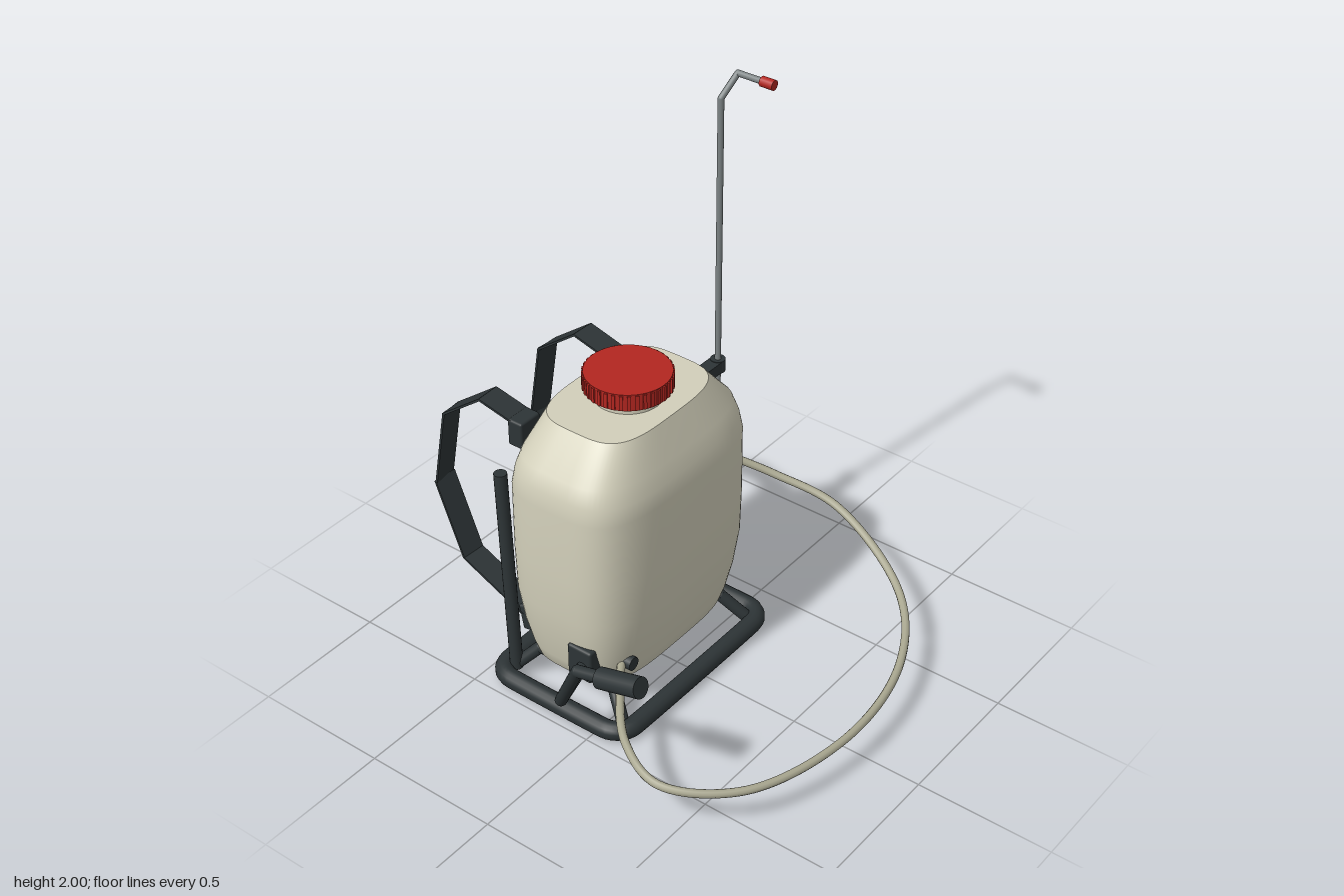
import * as THREE from 'three';
import { RoundedBoxGeometry } from 'three/addons/geometries/RoundedBoxGeometry.js';

const CX = -0.04, CZ = -0.17; // centre of tank and base
const mat = (color, extra = {}) => new THREE.MeshStandardMaterial({ color, ...extra });
const V = (p) => new THREE.Vector3(...p);

export function createModel() {
  const root = new THREE.Group();
  root.name = 'backpackSprayer';
  const cream = mat(0xd2cfba), dark = mat(0x2d3436), red = mat(0xb32620);
  const metal = mat(0x7b8283), hoseMat = mat(0xaaa891);

  const add = (name, geometry, material, pos = [0, 0, 0], parent = root) => {
    const m = new THREE.Mesh(geometry, material);
    m.name = name;
    m.position.set(...pos);
    parent.add(m);
    return m;
  };
  // straight round bar between two points
  const bar = (name, a, b, r, material, parent = root, sides = 16) => {
    const d = V(b).sub(V(a));
    const m = add(name, new THREE.CylinderGeometry(r, r, d.length(), sides), material,
      V(a).add(V(b)).multiplyScalar(0.5).toArray(), parent);
    m.quaternion.setFromUnitVectors(new THREE.Vector3(0, 1, 0), d.normalize());
    return m;
  };
  // bent round rod: bars with ball joints at the corners
  const bentRod = (name, pts, r, material) => {
    const g = new THREE.Group();
    g.name = name;
    root.add(g);
    pts.forEach((p, i) => {
      if (i) bar(name + 'Section', pts[i - 1], p, r, material, g);
      if (i && i < pts.length - 1) add(name + 'Bend', new THREE.SphereGeometry(r, 16, 10), material, p, g);
    });
    return g;
  };

  // tank: superellipse sections [y, half width, half depth]
  const sections = [
    [0.135, 0.335, 0.19], [0.15, 0.355, 0.207], [0.2, 0.37, 0.222], [0.3, 0.392, 0.243],
    [0.43, 0.41, 0.259], [0.6, 0.414, 0.263], [0.85, 0.413, 0.262], [0.91, 0.402, 0.252],
    [0.97, 0.382, 0.232], [1.09, 0.277, 0.187],
  ];
  const N = 72, E = 2 / 3.6;
  const ring = ([y, hx, hz]) => Array.from({ length: N }, (_, j) => {
    const t = j / N * Math.PI * 2, c = Math.cos(t), s = Math.sin(t);
    return [CX + hx * Math.sign(c) * Math.abs(c) ** E, y, CZ + hz * Math.sign(s) * Math.abs(s) ** E];
  });
  const build = (points, index) => {
    const g = new THREE.BufferGeometry();
    g.setAttribute('position', new THREE.Float32BufferAttribute(points.flat(), 3));
    g.setIndex(index);
    g.computeVertexNormals();
    return g;
  };
  const wall = [];
  for (let i = 0; i < sections.length - 1; i++) {
    for (let j = 0; j < N; j++) {
      const a = i * N + j, b = i * N + (j + 1) % N;
      wall.push(a, a + N, b, b, a + N, b + N);
    }
  }
  add('tankWall', build(sections.flatMap(ring), wall), cream);
  const lid = (name, section, up) => {
    const index = [];
    for (let j = 0; j < N; j++) {
      const k = (j + 1) % N;
      index.push(N, up ? k : j, up ? j : k);
    }
    add(name, build([...ring(section), [CX, section[0], CZ]], index), cream);
  };
  lid('tankTop', sections[sections.length - 1], true);
  lid('tankBottom', sections[0], false);

  // filler neck and ribbed screw cap
  add('fillerNeck', new THREE.CylinderGeometry(0.12, 0.12, 0.06, 40), cream, [CX, 1.1, CZ]);
  add('cap', new THREE.CylinderGeometry(0.147, 0.147, 0.062, 48), red, [CX, 1.152, CZ]);
  for (let i = 0; i < 36; i++) {
    const t = i / 36 * Math.PI * 2;
    const rib = add('capRib', new THREE.BoxGeometry(0.01, 0.055, 0.012), red,
      [CX + 0.147 * Math.cos(t), 1.152, CZ + 0.147 * Math.sin(t)]);
    rib.rotation.y = -t;
  }

  // base hoop: rounded rectangle of tube
  const hx = 0.407, hz = 0.277, cr = 0.075, hoop = [];
  [[1, 1], [-1, 1], [-1, -1], [1, -1]].forEach(([sx, sz], q) => {
    for (let k = 0; k <= 8; k++) {
      const t = (q + k / 8) * Math.PI / 2;
      hoop.push(new THREE.Vector3(CX + sx * (hx - cr) + cr * Math.cos(t), 0.035,
        CZ + sz * (hz - cr) + cr * Math.sin(t)));
    }
  });
  const hoopPath = new THREE.CurvePath();
  hoop.forEach((p, i) => hoopPath.add(new THREE.LineCurve3(p, hoop[(i + 1) % hoop.length])));
  add('baseHoop', new THREE.TubeGeometry(
    new THREE.CatmullRomCurve3(hoop, true, 'centripetal'), 160, 0.034, 14, true), dark);

  for (const s of [-1, 1]) {
    // rear upright and cradle under the tank
    bar('rearUpright', [CX + s * 0.35, 0.04, -0.4], [CX + s * 0.35, 0.855, -0.43], 0.023, dark);
    bentRod('cradle', [
      [CX + s * 0.35, 0.04, 0.07], [CX + s * 0.3, 0.13, -0.01],
      [CX + s * 0.3, 0.13, -0.33], [CX + s * 0.35, 0.04, -0.41],
    ], 0.022, dark);

    // shoulder strap with its two anchors
    const strap = new THREE.Group();
    strap.name = 'shoulderStrap';
    root.add(strap);
    const x = CX + s * 0.24;
    add('upperAnchor', new RoundedBoxGeometry(0.096, 0.1, 0.06, 2, 0.008), dark, [x, 0.98, -0.415], strap);
    const low = add('lowerAnchor', new RoundedBoxGeometry(0.09, 0.1, 0.055, 2, 0.008), dark,
      [x + s * 0.02, 0.23, -0.385], strap);
    low.rotation.x = -0.2;
    const path = [[1.02, -0.42], [1.055, -0.565], [0.93, -0.73], [0.63, -0.78], [0.355, -0.665], [0.24, -0.4]]
      .map(([y, z], i) => new THREE.Vector3(x + s * 0.004 * i, y, z));
    for (let i = 1; i < path.length; i++) {
      const a = path[i - 1], b = path[i];
      const web = add('strapWeb', new THREE.BoxGeometry(0.092, 0.008, a.distanceTo(b) + 0.003), dark,
        a.clone().add(b).multiplyScalar(0.5).toArray(), strap);
      web.lookAt(b);
    }
  }

  // pump lever on the right flank
  add('pumpPivot', new RoundedBoxGeometry(0.06, 0.13, 0.1, 2, 0.01), dark, [-0.415, 0.26, -0.07]);
  bentRod('pumpLever', [[-0.4, 0.25, -0.07], [-0.62, 0.265, 0], [-0.69, 0.51, 0.135], [-0.69, 0.54, 0.25]], 0.021, dark);
  bar('pumpGrip', [-0.69, 0.532, 0.228], [-0.69, 0.578, 0.39], 0.036, dark, root, 24);

  // lance clips on the left flank
  const LX = 0.525, LZ = -0.227;
  for (const [y, r] of [[0.882, 0.027], [0.58, 0.045]]) {
    add('lanceClipArm', new THREE.BoxGeometry(0.18, 0.044, 0.05), dark, [0.435, y, LZ]);
    add('lanceClipRing', new THREE.CylinderGeometry(r, r, 0.048, 24), dark, [LX, y, LZ]);
  }

  // ribbed lance handle
  const grip = [new THREE.Vector2(0, 0.485)];
  for (let i = 0; i < 12; i++) {
    const y = 0.485 + i * 0.0222;
    grip.push(...[[0.034, 0], [0.039, 0.005], [0.039, 0.014], [0.034, 0.019]]
      .map(([r, d]) => new THREE.Vector2(r, y + d)));
  }
  grip.push(new THREE.Vector2(0, 0.752));
  add('lanceHandle', new THREE.LatheGeometry(grip, 24), dark, [LX, 0, LZ]);
  // lance and spray nozzle
  bentRod('lance', [[LX, 0.74, LZ], [LX, 1.91, LZ], [0.585, 1.983, -0.205], [0.585, 1.983, -0.09]], 0.011, metal);
  bar('nozzle', [0.585, 1.983, -0.11], [0.585, 1.983, -0.06], 0.018, red);

  // hose sweeping round the front, and its tank fitting
  const hose = new THREE.CatmullRomCurve3([
    [0.53, 0.51, -0.23], [0.57, 0.475, -0.19], [0.65, 0.41, -0.06], [0.712, 0.335, 0.17],
    [0.59, 0.205, 0.52], [0.32, 0.16, 0.71], [-0.08, 0.142, 0.768], [-0.5, 0.153, 0.655],
    [-0.672, 0.185, 0.44], [-0.61, 0.215, 0.26], [-0.4, 0.238, 0.07], [-0.315, 0.24, 0.01],
  ].map(V));
  add('hose', new THREE.TubeGeometry(hose, 140, 0.0145, 10), hoseMat);
  bar('hoseFitting', [-0.315, 0.24, -0.03], [-0.315, 0.24, 0.06], 0.025, dark);

  return root;
}
